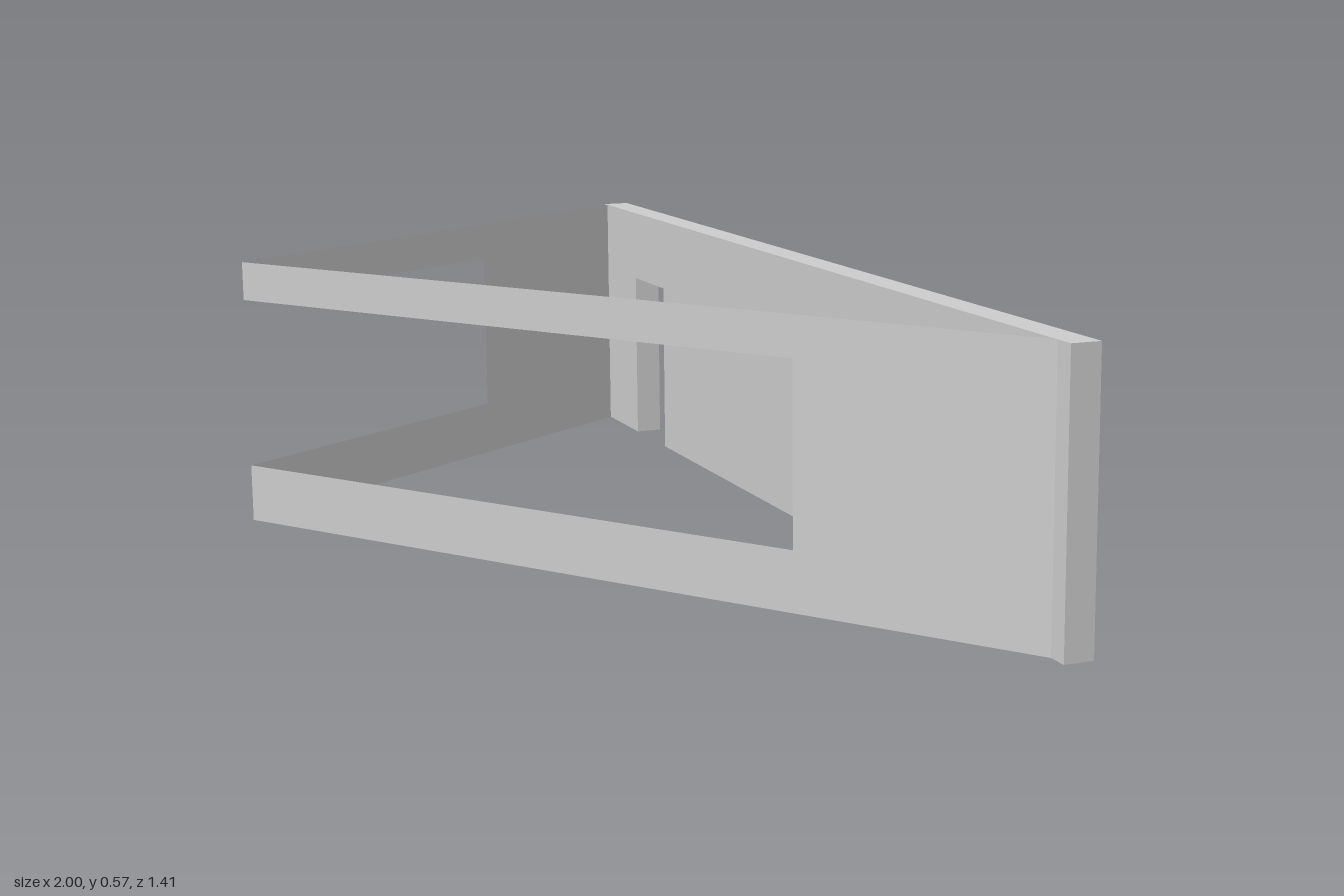
import * as THREE from 'three';

const H = 0.567;            // wall height
const X = 0.9825, Z = 0.68; // corner positions of the triangular plan
const THICK = 0.061;

const outline = pts => new THREE.Shape(pts.map(([x, y]) => new THREE.Vector2(x, y)));

// Thin wall starting at the glazed corner, with an opening that wraps round it
function windowWall(name, length, opening, material) {
  const shape = outline([
    [0, 0], [length, 0], [length, H], [0, H],
    [0, 0.485], [opening, 0.485], [opening, 0.122], [0, 0.122],
  ]);
  const wall = new THREE.Mesh(new THREE.ShapeGeometry(shape), material);
  wall.name = name;
  wall.position.set(-X, 0, Z);
  return wall;
}

export function createModel() {
  const group = new THREE.Group();
  group.name = 'triangularRoom';
  const solid = new THREE.MeshStandardMaterial({ color: 0xcccccc });
  const sheet = new THREE.MeshStandardMaterial({ color: 0xcccccc, side: THREE.DoubleSide });

  // Thick diagonal wall with a doorway cut up from the floor
  const half = Math.hypot(X, Z);
  const profile = outline([
    [-half, 0], [-0.963, 0], [-0.963, 0.4], [-0.764, 0.4], [-0.764, 0],
    [half, 0], [half, H], [-half, H],
  ]);
  const slab = new THREE.ExtrudeGeometry(profile, { depth: THICK, bevelEnabled: false });
  slab.translate(0, 0, -THICK / 2);
  const diagonal = new THREE.Mesh(slab, solid);
  diagonal.name = 'diagonalWall';
  diagonal.rotation.y = -Math.atan2(Z, X);
  group.add(diagonal);

  // Two thin walls meeting at the open corner
  group.add(windowWall('frontWall', 2 * X, 1.38, sheet));
  const side = windowWall('sideWall', 2 * Z, 0.81, sheet);
  side.rotation.y = Math.PI / 2;
  group.add(side);

  return group;
}
